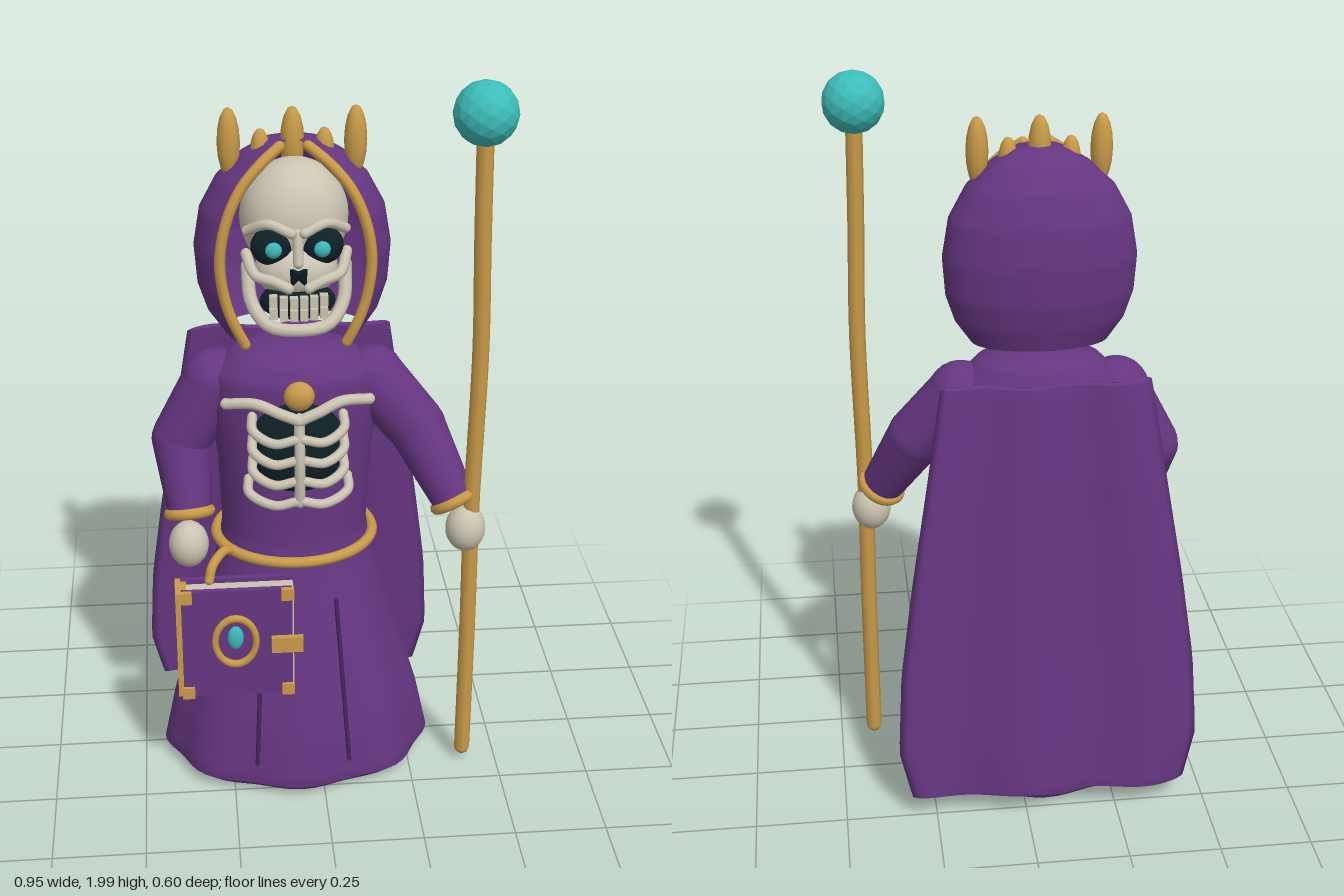
import * as THREE from 'three';
import { mergeVertices } from 'three/addons/utils/BufferGeometryUtils.js';

const paint = (name, color, extra = {}) => Object.assign(new THREE.MeshStandardMaterial({ color, ...extra }), { name });
const V = (p) => new THREE.Vector3(...p);
const CX = -0.063; // centre line of the figure

export function createModel() {
  const root = new THREE.Group();
  const robeCloth = paint('purpleCloth', 0x663681, { side: THREE.DoubleSide });
  const foldCloth = paint('darkPurple', 0x45235a);
  const gold = paint('gold', 0xc99b48);
  const bone = paint('bone', 0xcbc4b2);
  const dark = paint('shadowBlack', 0x0e2127);
  const teal = paint('teal', 0x3dbcb9);
  const orbTeal = paint('orbTeal', 0x3dbcb9, { flatShading: true });

  const body = new THREE.Group();
  body.name = 'figure';
  body.position.x = CX;
  root.add(body);

  const add = (name, geo, mat, parent = body) => {
    const m = new THREE.Mesh(geo, mat);
    m.name = name;
    parent.add(m);
    return m;
  };
  const ball = (name, p, r, mat, parent, ws = 20, hs = 14) => {
    const m = add(name, new THREE.SphereGeometry(1, ws, hs), mat, parent);
    m.position.set(...p);
    m.scale.set(...r);
    return m;
  };
  const box = (name, p, s, mat, parent) => {
    const m = add(name, new THREE.BoxGeometry(...s), mat, parent);
    m.position.set(...p);
    return m;
  };
  // Round bar through points, with rounded ends
  const bar = (name, pts, r, mat, parent, closed = false) => {
    const v = pts.map(V);
    const g = new THREE.Group();
    g.name = name;
    (parent || body).add(g);
    add(name + 'Tube', new THREE.TubeGeometry(new THREE.CatmullRomCurve3(v, closed), closed ? 56 : 24, r, 8, closed), mat, g);
    if (!closed) for (const p of [pts[0], pts.at(-1)]) ball(name + 'End', p, [r, r, r], mat, g, 8, 6);
    return g;
  };
  // Tapered limb section between two points
  const limb = (name, a, b, ra, rb, mat, parent) => {
    const d = V(b).sub(V(a));
    const m = add(name, new THREE.CylinderGeometry(rb, ra, d.length(), 20), mat, parent);
    m.position.copy(V(a)).addScaledVector(d, 0.5);
    m.quaternion.setFromUnitVectors(new THREE.Vector3(0, 1, 0), d.normalize());
    return m;
  };
  // Smooth surface from f(u, v): u runs around, v runs up
  const surface = (f, nu, nv) => {
    const pos = [], idx = [];
    for (let j = 0; j <= nv; j++) for (let i = 0; i <= nu; i++) pos.push(...f(i / nu, j / nv));
    for (let j = 0; j < nv; j++) for (let i = 0; i < nu; i++) {
      const a = j * (nu + 1) + i, c = a + nu + 1;
      idx.push(a, a + 1, c + 1, a, c + 1, c);
    }
    let g = new THREE.BufferGeometry();
    g.setAttribute('position', new THREE.Float32BufferAttribute(pos, 3));
    g.setIndex(idx);
    g = mergeVertices(g, 1e-5);
    g.computeVertexNormals();
    return g;
  };
  // Smoothly interpolated row of a cross-section list
  const rowSampler = (rows) => (v) => {
    const t = v * (rows.length - 1), i = Math.min(Math.floor(t), rows.length - 2), f = t - i;
    return rows[i].map((a, k) => a + (rows[i + 1][k] - a) * f);
  };

  // Robe: y, half width, front z, back z
  const robe = rowSampler([
    [0.01, 0, 0.02, 0.02], [0.012, 0.33, 0.26, -0.21], [0.045, 0.37, 0.295, -0.245], [0.2, 0.34, 0.275, -0.235],
    [0.45, 0.27, 0.225, -0.21], [0.68, 0.207, 0.175, -0.18], [0.75, 0.198, 0.165, -0.17], [0.95, 0.205, 0.165, -0.14],
    [1.12, 0.225, 0.165, -0.125], [1.21, 0.215, 0.165, -0.12], [1.26, 0.165, 0.14, -0.1], [1.285, 0.1, 0.09, -0.06], [1.293, 0, 0.015, 0.015],
  ]);
  add('robe', surface((u, v) => {
    const [y, w, zf, zb] = robe(v), a = u * Math.PI * 2;
    const k = 1 + 0.03 * Math.cos(8 * a) * Math.max(0, 1 - y / 0.65);
    const c = (zf + zb) / 2;
    return [Math.sin(a) * w * k, y, c + Math.cos(a) * ((zf - zb) / 2) * k];
  }, 64, 48), robeCloth);
  for (const [x0, x1] of [[-0.1, -0.125], [0, 0], [0.1, 0.13]])
    bar('robeFold', [[x0, 0.58, 0.185], [(x0 + x1) / 2, 0.35, 0.235], [x1, 0.12, 0.28]], 0.006, foldCloth);

  // Cape: y, half width, middle z, half thickness
  const cape = rowSampler([
    [0.08, 0.36, -0.267, 0], [0.08, 0.38, -0.267, 0.014], [0.22, 0.413, -0.255, 0.016], [0.45, 0.4, -0.235, 0.016],
    [0.7, 0.365, -0.212, 0.016], [1.0, 0.315, -0.185, 0.016], [1.25, 0.275, -0.158, 0.014], [1.255, 0.265, -0.158, 0],
  ]);
  add('cape', surface((u, v) => {
    const [y, w, zc, th] = cape(v);
    const front = u < 0.5, s = front ? u * 4 - 1 : 3 - u * 4;
    const edge = Math.sqrt(Math.max(0, 1 - s ** 8));
    const wave = -0.012 * Math.cos(s * 7 - 1.2) + 0.018 * s ** 4 - 0.004;
    return [s * w, y, zc + wave + (front ? th : -th) * edge];
  }, 80, 36), robeCloth);

  // Belt
  bar('belt', Array.from({ length: 16 }, (_, i) => {
    const a = i * Math.PI / 8;
    return [0.215 * Math.sin(a), 0.708, 0.19 * Math.cos(a)];
  }), 0.015, gold, body, true);

  // Hood: y, half width, half opening, front z radius, back z radius
  const hood = rowSampler([
    [1.32, 0.18, 0.13, 0.18, 0.095], [1.38, 0.222, 0.158, 0.185, 0.115], [1.45, 0.245, 0.18, 0.19, 0.132], [1.55, 0.252, 0.19, 0.2, 0.14],
    [1.65, 0.235, 0.172, 0.19, 0.13], [1.73, 0.192, 0.135, 0.165, 0.105], [1.79, 0.13, 0.082, 0.13, 0.07], [1.825, 0.07, 0.035, 0.09, 0.035], [1.835, 0.001, 0.0005, 0.02, 0.0],
  ]);
  const hoodPoint = (u, v) => {
    const [y, w, open, zf, zb] = hood(v), gap = Math.asin(open / w);
    const a = gap + u * (Math.PI * 2 - 2 * gap), c = Math.cos(a);
    return [Math.sin(a) * w, y, c * (c > 0 ? zf : zb)];
  };
  add('hood', surface(hoodPoint, 48, 40), robeCloth);
  for (const u of [0, 1])
    bar('hoodTrim', [0, 0.125, 0.25, 0.375, 0.5, 0.625, 0.75, 0.875].map((v) => hoodPoint(u, v)), 0.014, gold);

  // Crown spikes
  for (const [x, y, h, r] of [[-0.158, 1.82, 0.09, 0.029], [-0.08, 1.795, 0.06, 0.025], [0, 1.82, 0.09, 0.03], [0.08, 1.795, 0.06, 0.025], [0.158, 1.82, 0.09, 0.029]])
    ball('crownSpike', [x, y, 0.02], [r, h, r], gold, body, 10, 8);

  // Skull
  const skull = new THREE.Group();
  skull.name = 'skull';
  body.add(skull);
  ball('cranium', [0, 1.645, 0.065], [0.137, 0.147, 0.125], bone, skull, 28, 20);
  ball('upperJaw', [0, 1.53, 0.135], [0.105, 0.075, 0.085], bone, skull);
  ball('mouth', [0, 1.46, 0.175], [0.095, 0.05, 0.05], dark, skull);
  for (const s of [-1, 1]) {
    ball('eyeSocket', [s * 0.063, 1.603, 0.17], [0.052, 0.05, 0.034], dark, skull);
    ball('eyeGlow', [s * 0.06, 1.602, 0.201], [0.021, 0.021, 0.012], teal, skull, 12, 8);
    bar('brow', [[s * 0.122, 1.635, 0.145], [s * 0.07, 1.664, 0.187], [s * 0.016, 1.645, 0.205]], 0.013, bone, skull);
    bar('cheekbone', [[s * 0.125, 1.575, 0.145], [s * 0.105, 1.535, 0.19], [s * 0.06, 1.525, 0.215], [s * 0.025, 1.51, 0.225]], 0.014, bone, skull);
    const nostril = add('nostril', new THREE.ConeGeometry(0.02, 0.045, 4), dark, skull);
    nostril.position.set(s * 0.011, 1.532, 0.222);
    nostril.rotation.z = s * 0.35 + Math.PI;
  }
  bar('noseBridge', [[0, 1.64, 0.195], [0, 1.57, 0.212]], 0.013, bone, skull);
  bar('lowerJaw', [[-0.122, 1.54, 0.14], [-0.115, 1.46, 0.18], [-0.075, 1.412, 0.22], [0, 1.405, 0.24],
    [0.075, 1.412, 0.22], [0.115, 1.46, 0.18], [0.122, 1.54, 0.14]], 0.017, bone, skull);
  for (let i = 0; i < 6; i++) for (const y of [1.476, 1.443]) {
    const x = (i - 2.5) * 0.025;
    box('tooth', [x, y, 0.232 - x * x * 4], [0.02, 0.028, 0.02], bone, skull);
  }

  // Rib cage over a dark hollow
  ball('chestHollow', [0, 1.04, 0.145], [0.125, 0.14, 0.052], dark);
  bar('sternum', [[0, 1.15, 0.215], [0, 1.03, 0.232], [0, 0.91, 0.225]], 0.014, bone);
  for (const s of [-1, 1]) {
    bar('collarbone', [[s * 0.185, 1.175, 0.165], [s * 0.11, 1.185, 0.195], [s * 0.05, 1.165, 0.215], [0, 1.145, 0.22]], 0.015, bone);
    for (let i = 0; i < 4; i++) {
      const y = 1.095 - i * 0.06, w = 0.118 + (i === 3 ? 0.012 : 0);
      bar('rib', [[s * 0.01, y, 0.228], [s * 0.065, y - 0.012, 0.222], [s * w, y + 0.01, 0.185], [s * w, y + 0.038, 0.16]], 0.013, bone);
    }
  }
  ball('brooch', [0, 1.212, 0.215], [0.04, 0.04, 0.027], gold, body, 14, 10);

  // Arms
  const arm = (side, S, E, W, H) => {
    const g = new THREE.Group();
    g.name = side + 'Arm';
    root.add(g);
    ball('shoulder', S, [0.088, 0.085, 0.085], robeCloth, g);
    limb('upperSleeve', S, E, 0.085, 0.079, robeCloth, g);
    ball('elbow', E, [0.079, 0.079, 0.079], robeCloth, g);
    limb('lowerSleeve', E, W, 0.079, 0.058, robeCloth, g);
    const cuff = add('cuff', new THREE.TorusGeometry(0.054, 0.016, 8, 24), gold, g);
    cuff.position.set(...W);
    cuff.quaternion.setFromUnitVectors(new THREE.Vector3(0, 0, 1), V(W).sub(V(E)).normalize());
    ball('hand', H, [0.054, 0.066, 0.054], bone, g);
  };
  arm('right', [-0.27, 1.17, 0], [-0.365, 1.0, 0], [-0.35, 0.815, 0.08], [-0.355, 0.735, 0.11]);
  arm('left', [0.145, 1.17, 0.015], [0.262, 1.035, 0.05], [0.358, 0.85, 0.135], [0.388, 0.775, 0.155]);

  // Staff
  bar('staff', [[0.405, 0.05, 0.155], [0.405, 0.5, 0.155], [0.402, 0.85, 0.155], [0.408, 1.3, 0.157], [0.4, 1.6, 0.16], [0.395, 1.88, 0.16]], 0.022, gold, root);
  const orb = add('staffOrb', new THREE.IcosahedronGeometry(0.081, 2), orbTeal, root);
  orb.position.set(0.395, 1.92, 0.157);

  // Book
  const book = new THREE.Group();
  book.name = 'book';
  book.position.set(-0.235, 0.51, 0.226);
  root.add(book);
  box('pages', [0.01, 0, 0], [0.285, 0.305, 0.05], bone, book);
  for (const s of [-1, 1]) box('cover', [0, 0, s * 0.032], [0.295, 0.33, 0.016], robeCloth, book);
  box('spine', [-0.147, 0, 0], [0.03, 0.325, 0.079], gold, book);
  for (const sx of [-1, 1]) for (const sy of [-1, 1])
    box('cornerGuard', [sx * 0.135, sy * 0.15, 0.042], [0.034, 0.034, 0.014], gold, book);
  box('clasp', [0.133, 0.0, 0.052], [0.085, 0.046, 0.016], gold, book);
  const ring = add('medallionRing', new THREE.TorusGeometry(0.055, 0.009, 8, 28), gold, book);
  ring.position.set(-0.005, 0.01, 0.045);
  ring.scale.y = 1.3;
  ball('gem', [-0.005, 0.02, 0.042], [0.022, 0.036, 0.014], teal, book, 12, 8);
  bar('bookStrap', [[-0.305, 0.67, 0.2], [-0.295, 0.705, 0.185], [-0.265, 0.725, 0.145], [-0.235, 0.71, 0.11]], 0.013, gold, root);

  return root;
}
